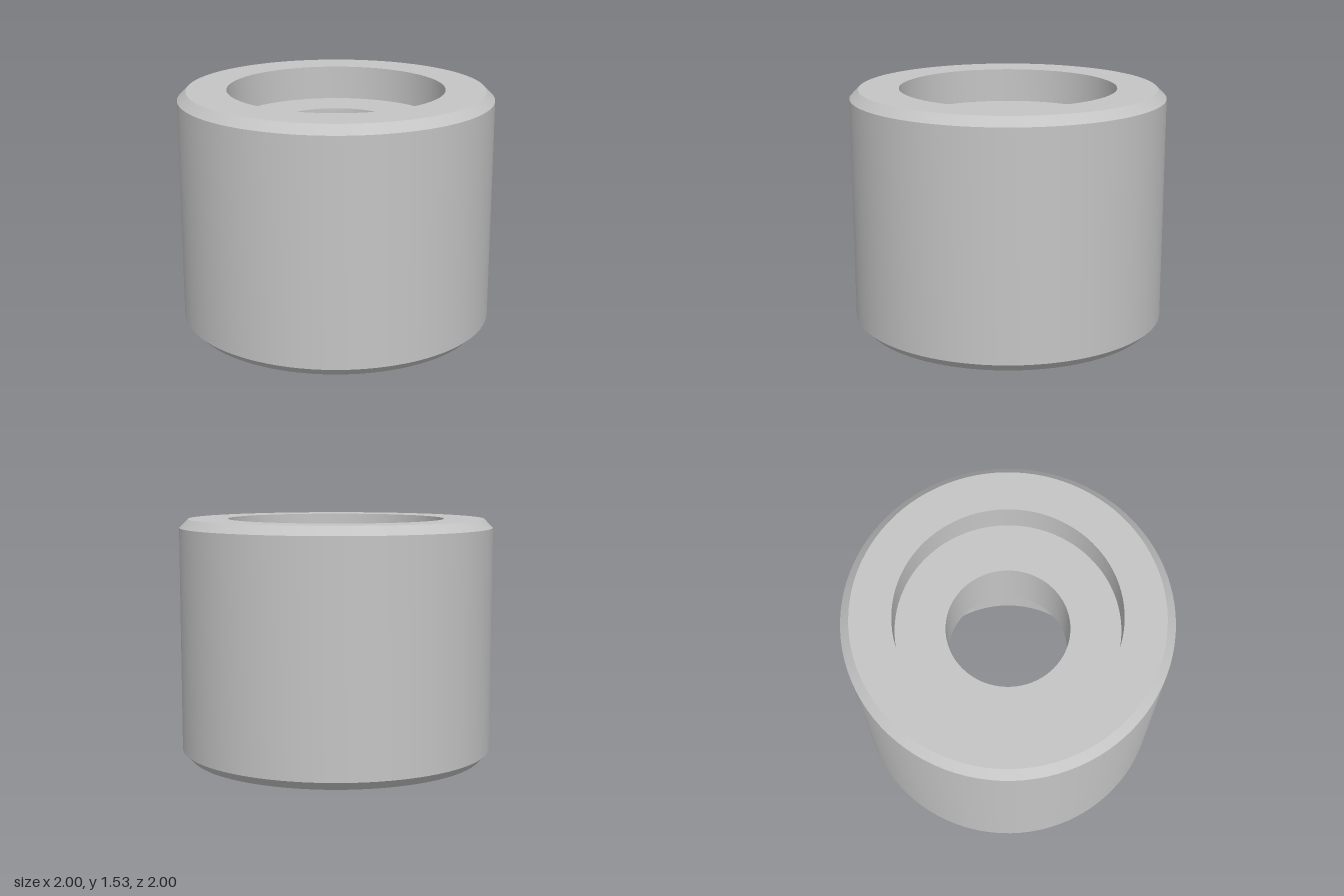
import * as THREE from 'three';
import { toCreasedNormals } from 'three/addons/utils/BufferGeometryUtils.js';

const HEIGHT = 1.535;
const RADIUS = 1;
const CHAMFER = 0.055;
const BORE = 0.69;        // radius of the top recess and the bottom bore
const HOLE = 0.38;        // radius of the through hole
const TOP_FLOOR = 1.315;  // floor of the shallow top recess
const BOTTOM_FLOOR = 0.9; // ceiling of the deep bottom bore

export function createModel() {
  const metal = new THREE.MeshStandardMaterial({ color: 0xc4c4c4 });
  metal.name = 'light grey metal';

  // Closed section: bottom bore, chamfered outer wall, top recess, through hole
  const section = [
    [HOLE, BOTTOM_FLOOR],
    [BORE, BOTTOM_FLOOR],
    [BORE, 0],
    [RADIUS - CHAMFER, 0],
    [RADIUS, CHAMFER],
    [RADIUS, HEIGHT - CHAMFER],
    [RADIUS - CHAMFER, HEIGHT],
    [BORE, HEIGHT],
    [BORE, TOP_FLOOR],
    [HOLE, TOP_FLOOR],
    [HOLE, BOTTOM_FLOOR],
  ].map(([r, y]) => new THREE.Vector2(r, y));

  const geometry = toCreasedNormals(new THREE.LatheGeometry(section, 96), Math.PI / 6);
  const bushing = new THREE.Mesh(geometry, metal);
  bushing.name = 'bushing';

  const group = new THREE.Group();
  group.name = 'counterboredBushing';
  group.add(bushing);
  return group;
}
